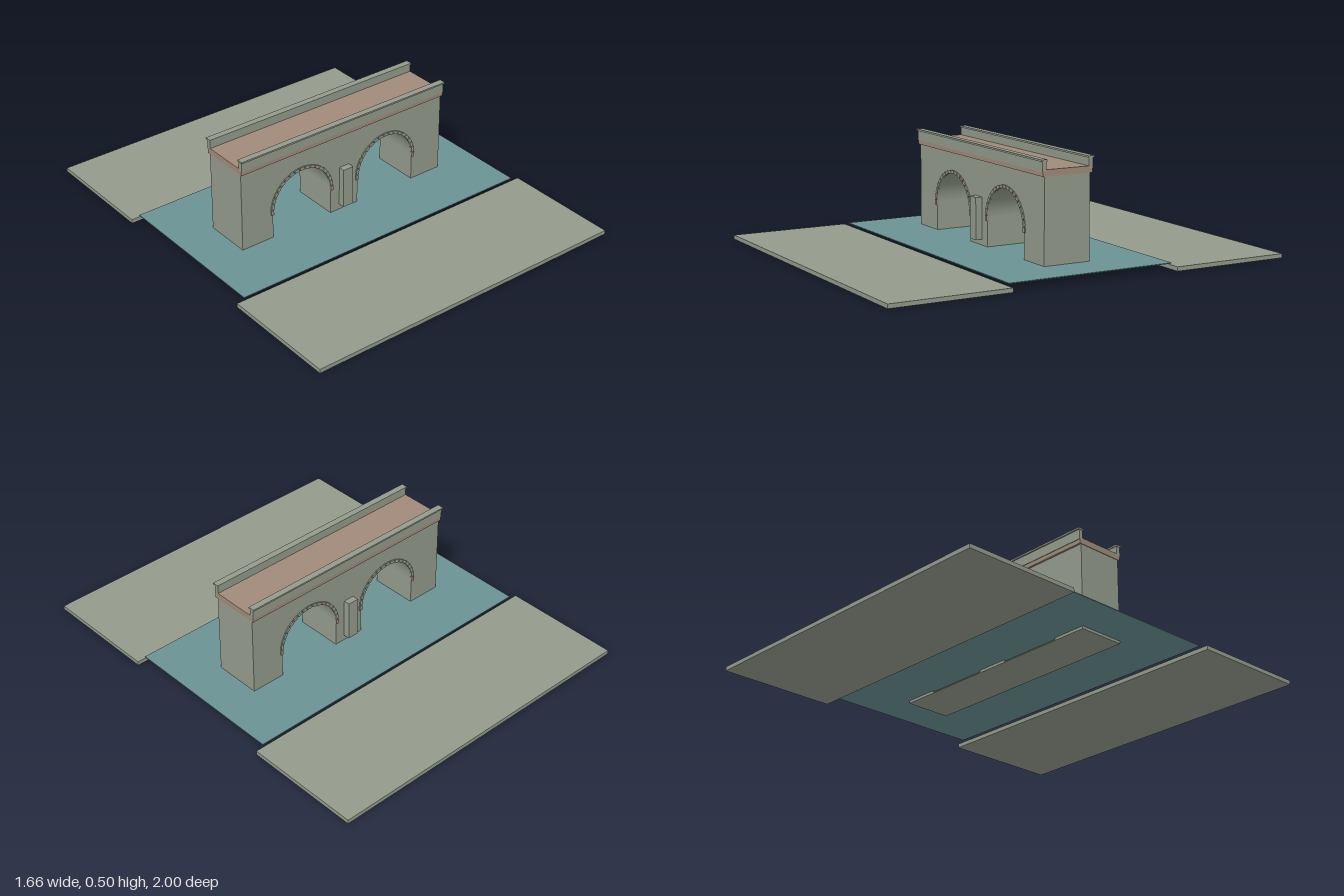
import * as THREE from 'three';

export function createModel() {
  const model = new THREE.Group();
  model.name = 'archBridge';

  const material = (name, color) => {
    const m = new THREE.MeshStandardMaterial({ color });
    m.name = name;
    return m;
  };
  const stone = material('stone', 0x939b8b);
  const brick = material('brick', 0xa08a7a);
  const water = material('water', 0x6a9293);

  const add = (name, geometry, mat, x = 0, y = 0, z = 0, parent = model) => {
    const mesh = new THREE.Mesh(geometry, mat);
    mesh.name = name;
    mesh.position.set(x, y, z);
    parent.add(mesh);
    return mesh;
  };
  // Box given by its lower and upper limits on each axis
  const block = (name, mat, [x0, x1], [y0, y1], [z0, z1]) =>
    add(name, new THREE.BoxGeometry(x1 - x0, y1 - y0, z1 - z0), mat,
      (x0 + x1) / 2, (y0 + y1) / 2, (z0 + z1) / 2);

  // River and its two banks
  block('riverWater', water, [-0.79, 0.79], [0.028, 0.032], [-0.415, 0.415]);
  block('frontBank', stone, [-0.83, 0.83], [0, 0.02], [0.418, 1]);
  block('backBank', stone, [-0.83, 0.83], [0, 0.02], [-1, -0.418]);

  // Bridge body with two round-headed openings above a thin footing
  const halfWidth = 0.117;
  const archX = 0.245, archY = 0.167, archR = 0.165;
  const body = new THREE.Shape();
  body.moveTo(-0.582, 0.015);
  body.lineTo(0.582, 0.015);
  body.lineTo(0.582, 0.43);
  body.lineTo(-0.582, 0.43);
  body.closePath();
  for (const side of [-1, 1]) {
    const cx = side * archX;
    const hole = new THREE.Path();
    hole.moveTo(cx - archR, 0.02);
    hole.lineTo(cx + archR, 0.02);
    hole.lineTo(cx + archR, archY);
    hole.absarc(cx, archY, archR, 0, Math.PI, false);
    hole.closePath();
    body.holes.push(hole);
  }
  const bodyGeometry = new THREE.ExtrudeGeometry(body, {
    depth: halfWidth * 2, bevelEnabled: false, curveSegments: 24,
  });
  add('bridgeBody', bodyGeometry, stone, 0, 0, -halfWidth);

  // Voussoirs round both arches on both faces, with brick accents
  const count = 18;
  const voussoir = new THREE.BoxGeometry(0.015, 0.025, 0.012);
  for (const face of [-1, 1]) {
    for (const side of [-1, 1]) {
      const ring = new THREE.Group();
      ring.name = 'archRing';
      ring.position.set(side * archX, archY, face * halfWidth);
      model.add(ring);
      for (let i = 0; i <= count; i++) {
        const a = (i / count) * Math.PI;
        const mesh = add('voussoir', voussoir, i % 6 === 0 ? brick : stone,
          0.17 * Math.cos(a), 0.17 * Math.sin(a), 0, ring);
        mesh.rotation.z = a;
      }
    }
  }

  // Brick string course and roadway
  block('stringCourse', brick, [-0.585, 0.585], [0.43, 0.452], [-0.127, 0.127]);
  block('roadway', brick, [-0.585, 0.585], [0.452, 0.46], [-0.11, 0.11]);

  for (const face of [-1, 1]) {
    const span = (a, b) => (face > 0 ? [a, b] : [-b, -a]);
    // Parapet wall with an overhanging coping
    block('parapet', stone, [-0.585, 0.585], [0.45, 0.497], span(0.109, 0.13));
    block('parapetCoping', stone, [-0.588, 0.588], [0.497, 0.505], span(0.105, 0.137));
    // Buttress on the middle pier
    block('pierButtress', stone, [-0.028, 0.028], [0.058, 0.258], span(0.11, 0.149));
  }

  return model;
}
